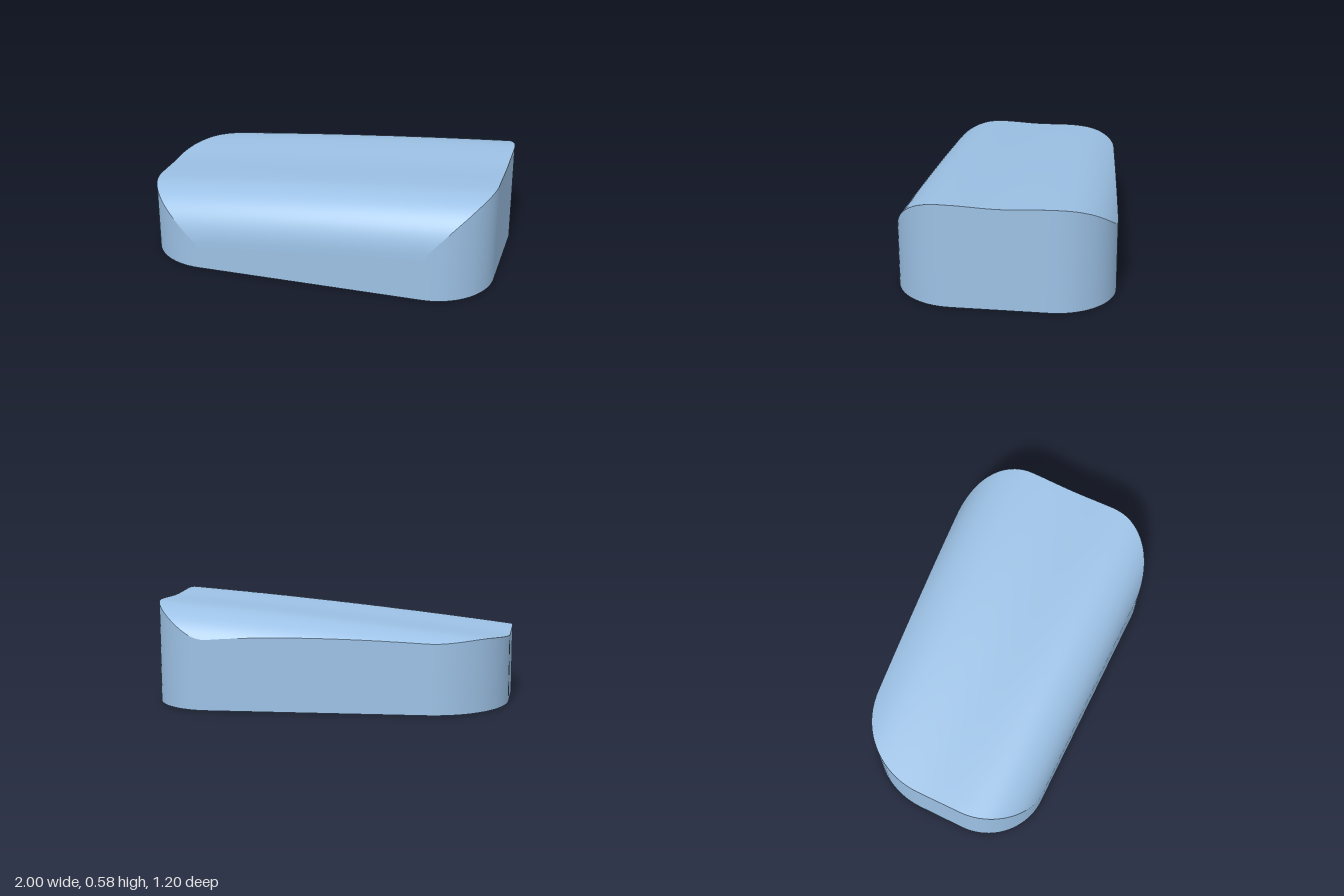
import * as THREE from 'three';

const WALL = 0.103;

// Plan outline: four corner arcs [centre x, centre z, radius, start, end degrees]
// joined by straight runs; the back edge is slightly skewed.
const CORNERS = [
  [0.66, 0.26, 0.34, 0, 90],
  [-0.65, 0.25, 0.35, 90, 180],
  [-0.53, -0.025, 0.47, 180, 265],
  [0.67, -0.268, 0.33, 265, 360],
];

// Crown sections: thickness below the top, edge roll-off widths, depth and squareness
const OUTSIDE = { lower: 0, front: 0.32, back: 0.35, depth: 0.31, roll: 2.3 };
const INSIDE = { lower: 0.085, front: 0.22, back: 0.25, depth: 0.295, roll: 2 };

function outline(inset) {
  const arcSteps = 20, lineSteps = 20, points = [];
  const at = ([cx, cz, r], degrees) => {
    const a = THREE.MathUtils.degToRad(degrees);
    return new THREE.Vector2(cx + (r - inset) * Math.cos(a), cz + (r - inset) * Math.sin(a));
  };
  CORNERS.forEach((corner, k) => {
    const [, , , start, end] = corner;
    for (let i = 0; i <= arcSteps; i++) points.push(at(corner, start + (end - start) * i / arcSteps));
    const next = CORNERS[(k + 1) % 4];
    const from = at(corner, end), to = at(next, next[3]);
    for (let i = 1; i < lineSteps; i++) points.push(from.clone().lerp(to, i / lineSteps));
  });
  return points;
}

// Height of the crown: rises along x, dips mid-width, rolls off at the front and back
function crown(x, z, { lower, front, back, depth, roll }) {
  const ridge = 0.49 + 0.09 * x + 0.0125 * (1 - x * x) - lower;
  const edge = Math.abs(z) - 0.28;
  if (edge <= 0) return ridge - 0.01 * Math.cos(z * Math.PI / 0.56) ** 2;
  const u = Math.min(1, edge / (z > 0 ? front : back));
  return ridge - depth * (1 - (1 - u ** roll) ** (1 / roll));
}

// Smooth surface through successive closed rings of [x, y, z]
function skin(rings) {
  const n = rings[0].length, index = [];
  for (let i = 0; i < rings.length - 1; i++) {
    for (let j = 0; j < n; j++) {
      const a = i * n + j, b = i * n + (j + 1) % n;
      index.push(a, a + n, b, b, a + n, b + n);
    }
  }
  const geometry = new THREE.BufferGeometry();
  geometry.setAttribute('position', new THREE.Float32BufferAttribute(rings.flat(2), 3));
  geometry.setIndex(index);
  geometry.computeVertexNormals();
  return geometry;
}

export function createModel() {
  const group = new THREE.Group();
  group.name = 'hollowCap';
  const blue = new THREE.MeshStandardMaterial({ color: 0x9cc1e5 });
  blue.name = 'softBlue';

  const outer = outline(0), inner = outline(WALL);
  const base = (loop) => loop.map((p) => [p.x, 0, p.y]);
  const top = (loop, section, s = 1) =>
    loop.map((p) => [p.x * s, crown(p.x * s, p.y * s, section), p.y * s]);

  // Rings from the edge to the middle, packed densely near the rolled edge
  const crownRings = (loop, section) => {
    const steps = 40, rings = [];
    for (let i = 0; i <= steps; i++) {
      const t = i / steps;
      rings.push(top(loop, section, 1 - Math.min(0.9999, t ** 1.8)));
    }
    return rings;
  };

  const add = (name, rings) => {
    const mesh = new THREE.Mesh(skin(rings), blue);
    mesh.name = name;
    group.add(mesh);
  };

  add('outerWall', [base(outer), top(outer, OUTSIDE)]);
  add('topSurface', crownRings(outer, OUTSIDE));
  add('bottomRim', [base(inner), base(outer)]);
  add('innerWall', [top(inner, INSIDE), base(inner)]);
  add('innerCeiling', crownRings(inner, INSIDE).reverse());
  return group;
}
